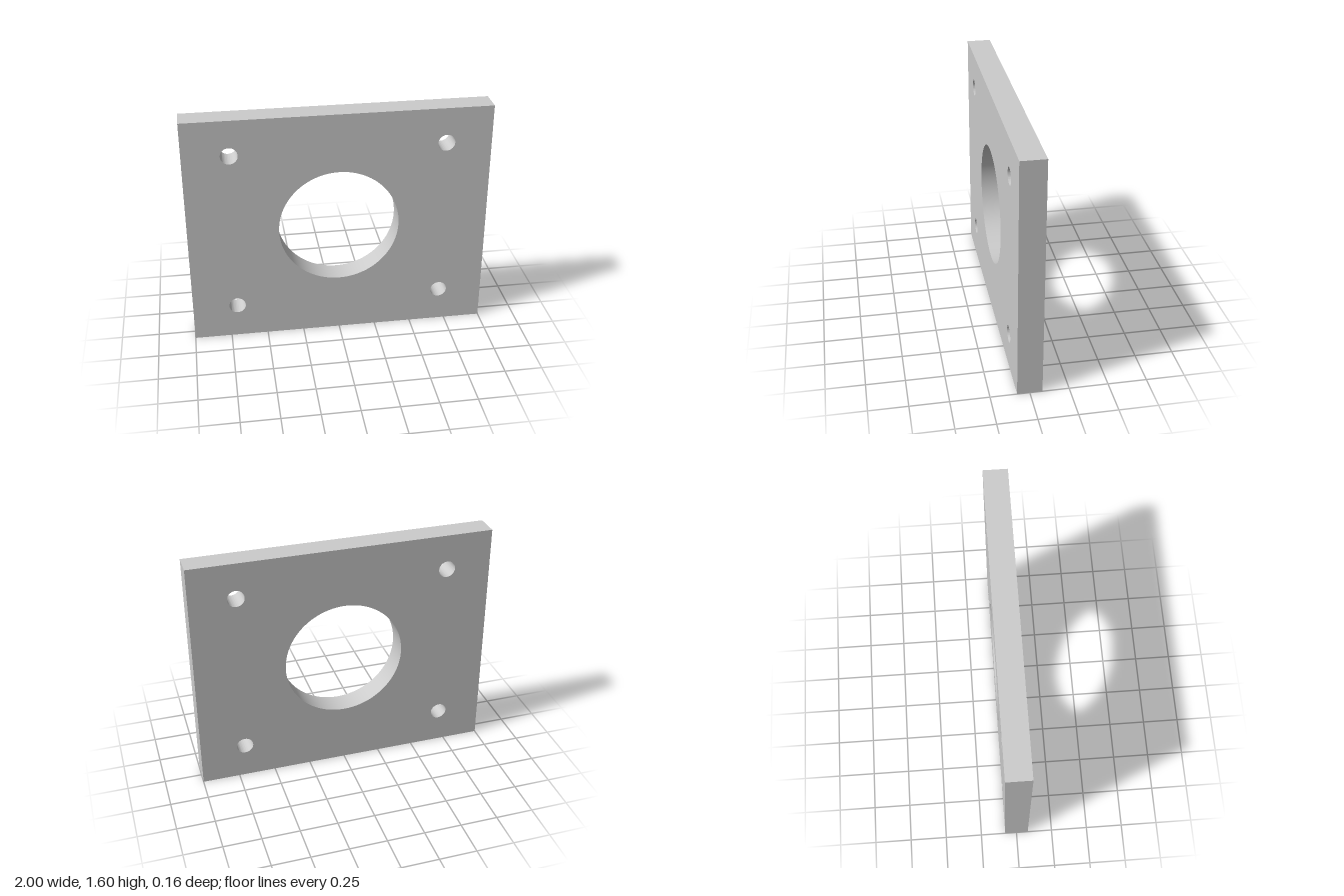
import * as THREE from 'three';
import { toCreasedNormals } from 'three/addons/utils/BufferGeometryUtils.js';

const WIDTH = 2, HEIGHT = 1.6, DEPTH = 0.16;

function circularHole(x, y, radius) {
  return new THREE.Path().absarc(x, y, radius, 0, Math.PI * 2, true);
}

export function createModel() {
  const group = new THREE.Group();
  group.name = 'mountingPlate';

  // Rectangular outline standing on the ground
  const outline = new THREE.Shape();
  outline.moveTo(-WIDTH / 2, 0);
  outline.lineTo(WIDTH / 2, 0);
  outline.lineTo(WIDTH / 2, HEIGHT);
  outline.lineTo(-WIDTH / 2, HEIGHT);
  outline.closePath();

  // Large central bore and four corner bolt holes
  outline.holes.push(circularHole(0, HEIGHT / 2, 0.4));
  for (const sx of [-1, 1]) {
    for (const sy of [-1, 1]) {
      outline.holes.push(circularHole(sx * 0.7, HEIGHT / 2 + sy * 0.56, 0.056));
    }
  }

  // Plate thickness, centred on z, with smooth hole walls and sharp edges
  const geometry = new THREE.ExtrudeGeometry(outline, {
    depth: DEPTH, bevelEnabled: false, curveSegments: 64,
  });
  geometry.translate(0, 0, -DEPTH / 2);

  const plate = new THREE.Mesh(
    toCreasedNormals(geometry, 0.5),
    new THREE.MeshStandardMaterial({ color: 0xcccccc })
  );
  plate.name = 'plate';
  group.add(plate);
  return group;
}
